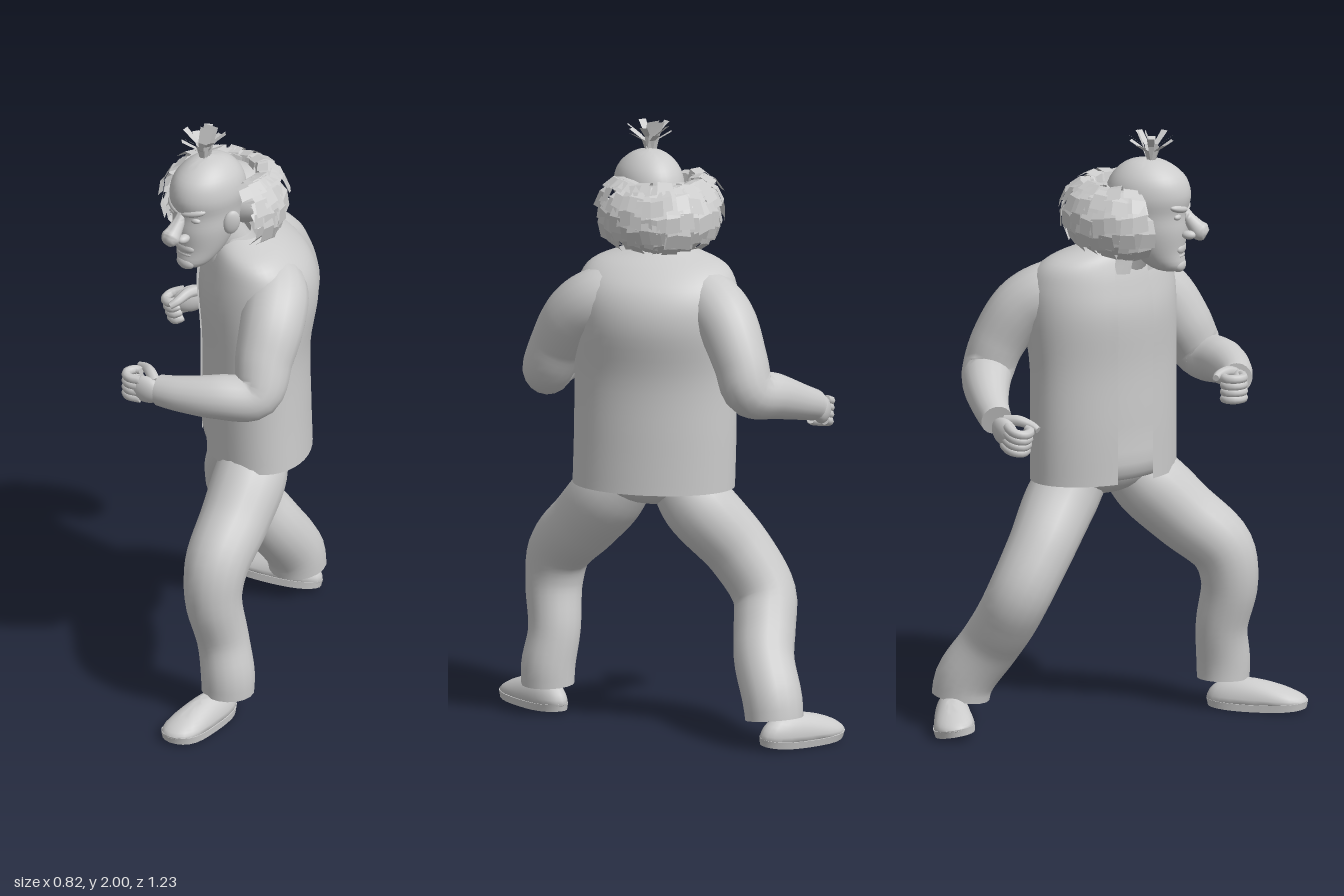
import * as THREE from 'three';
import { mergeGeometries, toCreasedNormals } from 'three/addons/utils/BufferGeometryUtils.js';

const grey = new THREE.MeshStandardMaterial({ color: 0xcccccc });
const thin = new THREE.MeshStandardMaterial({ color: 0xcccccc, side: THREE.DoubleSide });
const V = (x, y, z) => new THREE.Vector3(x, y, z);
const TURN = 0.89; // how far the body is twisted to its right

let seed = 7;
const rnd = () => (seed = (seed * 16807) % 2147483647) / 2147483647;

function add(parent, name, geo, mat = grey) {
  const mesh = new THREE.Mesh(geo, mat);
  mesh.name = name;
  parent.add(mesh);
  return mesh;
}

function ball(parent, name, p, s, rot = [0, 0, 0]) {
  const m = add(parent, name, new THREE.SphereGeometry(1, 20, 14));
  m.position.set(...p);
  m.scale.set(...s);
  m.rotation.set(...rot);
}

// Smooth tube through [x, y, z, radius] points with closed ends
function limb(pts, n = 36, sides = 18) {
  const path = new THREE.CatmullRomCurve3(pts.map(p => V(p[0], p[1], p[2])));
  const radii = new THREE.CatmullRomCurve3(pts.map(p => V(p[3], 0, 0)), false, 'catmullrom');
  const geo = new THREE.TubeGeometry(path, n, 1, sides);
  const pos = geo.attributes.position, v = V(0, 0, 0);
  for (let i = 0; i <= n; i++) {
    const c = path.getPointAt(i / n);
    const end = i === 0 || i === n;
    const r = end ? 0 : radii.getPoint(path.getUtoTmapping(i / n)).x;
    const base = end ? path.getPointAt(i ? (n - 1) / n : 1 / n) : c;
    for (let j = 0; j <= sides; j++) {
      const k = i * (sides + 1) + j;
      v.fromBufferAttribute(pos, k).sub(c).multiplyScalar(r).add(base);
      pos.setXYZ(k, v.x, v.y, v.z);
    }
  }
  return toCreasedNormals(geo, 1.1);
}

// Skin over oval sections [y, cx, cz, rx, rz], bottom to top, with an optional gap in front
function loft(rows, turn = 0, gap = 0, n = 40, m = 30) {
  const mid = new THREE.CatmullRomCurve3(rows.map(r => V(r[1], r[0], r[2])), false, 'catmullrom');
  const rad = new THREE.CatmullRomCurve3(rows.map(r => V(r[3], 0, r[4])), false, 'catmullrom');
  const geo = new THREE.PlaneGeometry(1, 1, n, m);
  const pos = geo.attributes.position;
  for (let i = 0; i < pos.count; i++) {
    const a = gap + (pos.getX(i) + 0.5) * (2 * Math.PI - 2 * gap);
    const t = pos.getY(i) + 0.5;
    const c = mid.getPoint(t), r = rad.getPoint(t);
    const x = Math.sin(a) * r.x, z = Math.cos(a) * r.z;
    pos.setXYZ(i, c.x + x * Math.cos(turn) - z * Math.sin(turn), c.y,
      c.z + x * Math.sin(turn) + z * Math.cos(turn));
  }
  return toCreasedNormals(geo, 1);
}

// Flat lock of hair bent along a path, widened along a direction
function lock(path, across, w0, w1) {
  const n = path.length - 1;
  const geo = new THREE.PlaneGeometry(1, 1, 1, n);
  const pos = geo.attributes.position;
  for (let i = 0; i < pos.count; i++) {
    const k = Math.floor(i / 2);
    const p = path[k].clone().addScaledVector(across, pos.getX(i) * (w0 + (w1 - w0) * k / n));
    pos.setXYZ(i, p.x, p.y, p.z);
  }
  return toCreasedNormals(geo, 0.2);
}

// Curled hand: forward is local +x, back of hand is local z * s
function hand(parent, name, s, p, turn, pitch) {
  const g = new THREE.Group();
  g.name = name;
  ball(g, 'palm', [0.045, 0, 0.008 * s], [0.065, 0.046, 0.029]);
  for (let i = 0; i < 4; i++) {
    const y = -0.034 + 0.0225 * i, r = 0.0155;
    add(g, 'finger', limb([[0.05, y, 0.016 * s, r], [0.105, y, 0.022 * s, r], [0.127, y, -0.005 * s, r],
      [0.112, y, -0.038 * s, r], [0.08, y, -0.035 * s, 0.011]], 16, 8));
  }
  add(g, 'thumb', limb([[0.01, 0.025, 0, 0.02], [0.05, 0.042, -0.03 * s, 0.019],
    [0.09, 0.04, -0.058 * s, 0.015], [0.125, 0.035, -0.068 * s, 0.01]], 16, 8));
  g.position.set(...p);
  g.rotation.set(0, turn, pitch, 'YXZ');
  parent.add(g);
}

// Blunt-toed shoe pointing along local +z
function shoe(parent, name, p, turn, roll) {
  const g = new THREE.Group();
  g.name = name;
  const shape = (geo, width, height) => {
    const pos = geo.attributes.position;
    for (let i = 0; i < pos.count; i++) {
      const x = pos.getX(i), y = pos.getY(i), z = pos.getZ(i);
      pos.setXYZ(i, x * Math.sqrt(1 + z * z) * (width + 0.012 * z), height(y, z), z * 0.168);
    }
    return toCreasedNormals(geo, 0.9);
  };
  add(g, 'shoeUpper', shape(new THREE.SphereGeometry(1, 24, 18), 0.062,
    (y, z) => 0.03 + y * (y > 0 ? 0.072 - 0.027 * z : 0.02)));
  add(g, 'sole', shape(new THREE.CylinderGeometry(1, 0.97, 1, 28), 0.065,
    (y, z) => 0.015 + 0.024 * y + 0.008 * z * z));
  g.position.set(...p);
  g.rotation.set(0, turn, roll, 'YXZ');
  parent.add(g);
}

function makeHead(parent) {
  const head = new THREE.Group();
  head.name = 'head';
  head.position.set(0.03, 0, 0.09);
  head.rotation.y = -0.2;
  add(head, 'skull', loft([[1.528, 0, 0.075, 0, 0], [1.545, 0, 0.065, 0.046, 0.055], [1.6, 0, 0.03, 0.077, 0.09],
    [1.67, 0, 0.01, 0.097, 0.12], [1.73, 0, 0, 0.102, 0.13], [1.79, 0, 0, 0.11, 0.142],
    [1.85, 0, 0, 0.096, 0.122], [1.895, 0, -0.005, 0.054, 0.068], [1.912, 0, -0.005, 0, 0]]));
  add(head, 'nose', limb([[0, 1.75, 0.115, 0.014], [0, 1.715, 0.135, 0.02], [0, 1.685, 0.16, 0.027],
    [0, 1.668, 0.178, 0.032], [0, 1.655, 0.2, 0.015]], 20, 14));
  ball(head, 'upperLip', [0, 1.612, 0.108], [0.042, 0.022, 0.017]);
  ball(head, 'lowerLip', [0, 1.588, 0.108], [0.033, 0.011, 0.013]);
  ball(head, 'chin', [0, 1.555, 0.102], [0.037, 0.026, 0.024]);
  for (const s of [-1, 1]) {
    ball(head, 'nostril', [s * 0.027, 1.662, 0.142], [0.017, 0.015, 0.024]);
    ball(head, 'eye', [s * 0.043, 1.725, 0.106], [0.023, 0.012, 0.014]);
    ball(head, 'brow', [s * 0.043, 1.752, 0.112], [0.043, 0.014, 0.018], [0, s * 0.45, s * 0.22]);
    ball(head, 'ear', [s * 0.108, 1.7, 0], [0.016, 0.045, 0.03], [0, s * -0.4, s * -0.15]);
  }
  parent.add(head);
}

function makeHair(parent) {
  const hair = new THREE.Group();
  hair.name = 'hair';
  ball(hair, 'hairMass', [0.04, 1.72, -0.045], [0.155, 0.1, 0.11]);
  // Overlapping rows of locks curling outward, from ear to ear round the back
  const locks = [];
  for (let row = 0; row < 5; row++) for (let i = 0; i < 23; i++) {
    const a = -0.52 + 0.06 * row + (Math.PI + 0.75) * (i + 0.5 * (row % 2) + 0.3 * rnd()) / 22.8;
    const out = V(Math.cos(a), 0, -Math.sin(a));
    const across = V(-Math.sin(a), 0.5 * (rnd() - 0.5), -Math.cos(a));
    const lift = 1.5 - 0.5 * row + 0.25 * (rnd() - 0.5), grow = 0.93 + 0.2 * rnd();
    const path = [[0.4, 0.3], [0.9, 0], [1.03, -0.35], [1.08, -0.75]].map(([r, e], k) => {
      const f = k ? r * grow : r;
      return V(0.045, 1.725 + 0.115 * f * Math.sin(lift + e), 0.015)
        .addScaledVector(out, 0.105 + 0.095 * f * Math.cos(lift + e));
    });
    locks.push(lock(path, across, 0.03, 0.055));
  }
  add(hair, 'hairLocks', mergeGeometries(locks), thin);
  // Small tuft on the crown
  const tuft = [];
  for (let i = 0; i < 10; i++) {
    const a = i * Math.PI / 5, d = V(Math.cos(a), 0, Math.sin(a)), h = i % 2 ? 0.095 : 0.07;
    const base = V(0.02, 1.895, 0.1);
    const at = (r, y) => base.clone().addScaledVector(d, r).add(V(0, y, 0));
    tuft.push(lock([at(0.01, 0), at(0.025, h * 0.6), at(0.072, h)], V(-d.z, 0, d.x), 0.012, 0.026));
  }
  for (const [z, w] of [[0.075, 0.055], [0.1, 0.05]])
    tuft.push(lock([V(0.02, 1.89, 0.09), V(0.02, 1.95, z), V(0.02, 2, z - 0.02)], V(1, 0, 0), 0.035, w));
  add(hair, 'crownTuft', mergeGeometries(tuft), thin);
  parent.add(hair);
}

export function createModel() {
  const model = new THREE.Group();
  model.name = 'figure';

  // Jacket open in front over a shirt
  const body = [[0.825, 0.126, -0.06, 0.27, 0.18], [1.0, 0.12, -0.06, 0.27, 0.18], [1.2, 0.118, -0.06, 0.27, 0.18],
    [1.38, 0.12, -0.07, 0.277, 0.2], [1.49, 0.118, -0.068, 0.268, 0.18], [1.565, 0.1, -0.052, 0.225, 0.134],
    [1.61, 0.078, -0.028, 0.11, 0.085]];
  add(model, 'jacket', loft(body, TURN, 0.27), thin);
  const inner = body.map(([y, x, z, a, b]) => [y, x, z, a * 0.96, b * 0.96]);
  add(model, 'shirt', loft([[0.835, 0.12, -0.06, 0, 0], [0.838, 0.12, -0.06, 0.24, 0.16], ...inner.slice(1)], TURN), thin);
  add(model, 'collar', loft([[1.53, 0.07, 0.0, 0.125, 0.1], [1.58, 0.06, 0.01, 0.095, 0.088],
    [1.615, 0.055, 0.015, 0.085, 0.08]], TURN, 0.3), thin);
  add(model, 'neck', limb([[0.085, 1.48, -0.03, 0.08], [0.065, 1.56, 0.01, 0.075], [0.04, 1.65, 0.06, 0.075]]));
  makeHead(model);
  makeHair(model);

  // Sleeves and hands
  add(model, 'leftSleeve', limb([[0.2, 1.49, -0.025, 0.085], [0.27, 1.445, 0.05, 0.106], [0.303, 1.38, 0.125, 0.107],
    [0.315, 1.29, 0.19, 0.098], [0.322, 1.18, 0.255, 0.083], [0.22, 1.175, 0.33, 0.074],
    [0.1, 1.17, 0.37, 0.06], [0.01, 1.165, 0.38, 0.05]], 44));
  hand(model, 'leftHand', -1, [0.025, 1.16, 0.38], Math.PI, 0);
  add(model, 'rightSleeve', limb([[0.05, 1.49, -0.14, 0.085], [0.03, 1.455, -0.24, 0.1], [0.03, 1.4, -0.325, 0.1],
    [0.032, 1.28, -0.405, 0.09], [0.02, 1.19, -0.435, 0.085], [-0.08, 1.16, -0.437, 0.076],
    [-0.2, 1.12, -0.42, 0.06], [-0.29, 1.09, -0.395, 0.05]], 44));
  hand(model, 'rightHand', 1, [-0.29, 1.08, -0.39], -2.47, -0.3);

  // Trousers
  ball(model, 'trouserSeat', [0.12, 0.865, -0.065], [0.215, 0.105, 0.14], [0, -TURN, 0]);
  add(model, 'leftTrouserLeg', limb([[0.165, 0.87, -0.01, 0.09], [0.195, 0.775, 0.085, 0.12], [0.208, 0.665, 0.2, 0.116],
    [0.215, 0.55, 0.325, 0.106], [0.22, 0.44, 0.352, 0.095], [0.24, 0.28, 0.325, 0.086],
    [0.262, 0.16, 0.33, 0.089], [0.262, 0.075, 0.33, 0.086]]));
  add(model, 'rightTrouserLeg', limb([[0.08, 0.88, -0.11, 0.095], [0.045, 0.77, -0.185, 0.118], [-0.07, 0.61, -0.262, 0.11],
    [-0.122, 0.47, -0.33, 0.105], [-0.09, 0.375, -0.375, 0.102], [-0.045, 0.28, -0.43, 0.099],
    [-0.018, 0.16, -0.51, 0.098], [-0.014, 0.075, -0.528, 0.094]]));

  // Shoes
  shoe(model, 'leftShoe', [0.228, 0.002, 0.442], -0.1, 0);
  shoe(model, 'rightShoe', [-0.108, 0.013, -0.54], -Math.PI / 2 + 0.04, 0.16);
  return model;
}
